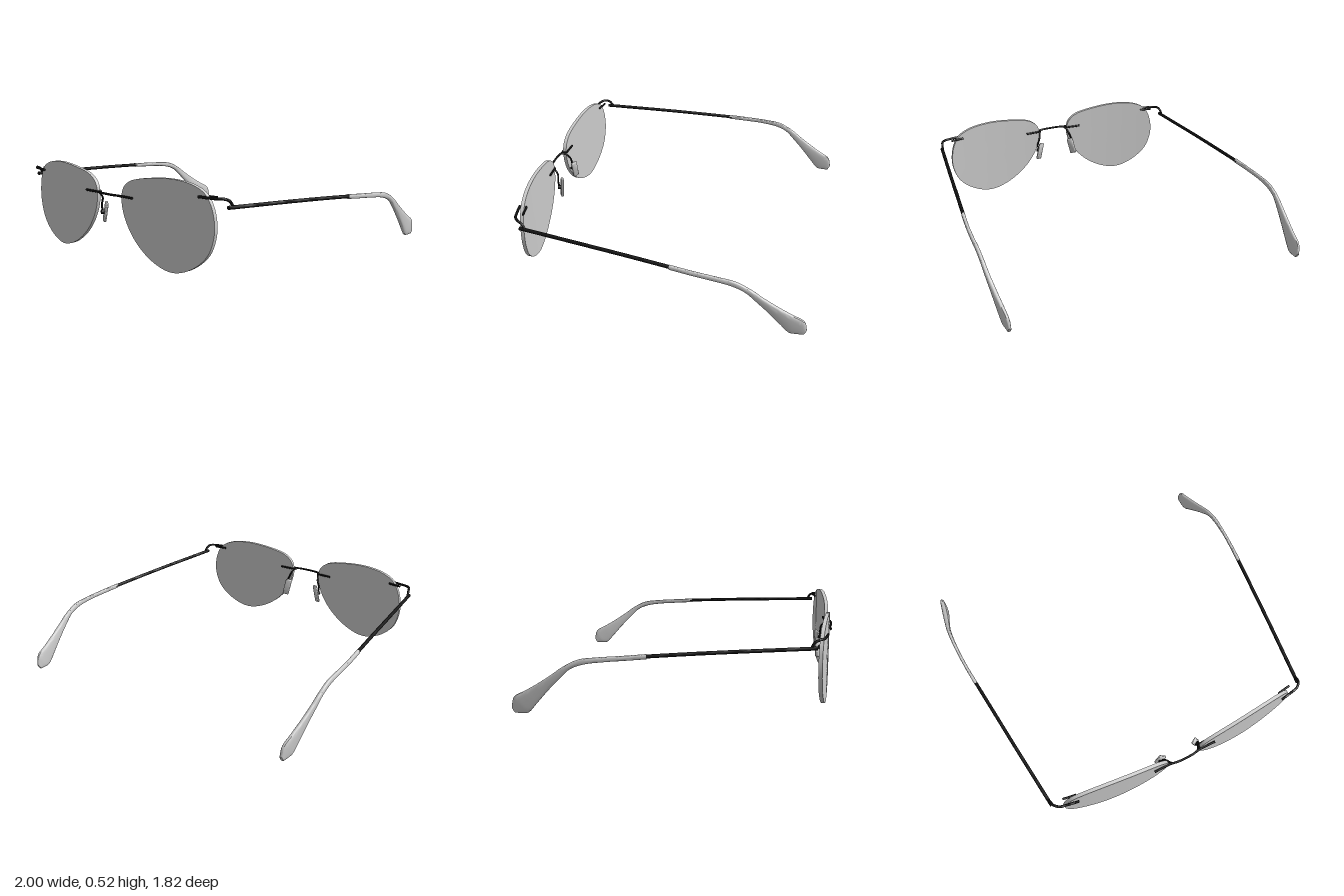
import * as THREE from 'three';
import { toCreasedNormals } from 'three/addons/utils/BufferGeometryUtils.js';
import { RoundedBoxGeometry } from 'three/addons/geometries/RoundedBoxGeometry.js';

const grey = new THREE.MeshStandardMaterial({ color: 0xcccccc });
const black = new THREE.MeshStandardMaterial({ color: 0x111111 });
const v = (p) => new THREE.Vector3(...p);

// Skin over closed rings of points; each ring runs counter-clockwise about the direction of travel
function loft(rings) {
  const n = rings[0].length, index = [];
  for (let i = 0; i < rings.length - 1; i++) {
    for (let j = 0; j < n; j++) {
      const a = i * n + j, b = i * n + (j + 1) % n;
      index.push(a, b, b + n, a, b + n, a + n);
    }
  }
  const g = new THREE.BufferGeometry();
  g.setAttribute('position', new THREE.Float32BufferAttribute(rings.flat(2), 3));
  g.setIndex(index);
  g.computeVertexNormals();
  return g;
}

// Round wire with closed ends
function wire(points, r, straight = false) {
  const pts = points.map(v);
  const curve = straight ? new THREE.LineCurve3(pts[0], pts[1]) : new THREE.CatmullRomCurve3(pts);
  const seg = straight ? 1 : pts.length * 6;
  const frames = curve.computeFrenetFrames(seg, false);
  const rings = [];
  for (let i = 0; i <= seg; i++) {
    const c = curve.getPointAt(i / seg);
    const ring = (rad) => Array.from({ length: 10 }, (_, j) => {
      const a = j / 10 * Math.PI * 2;
      return c.clone().addScaledVector(frames.normals[i], Math.cos(a) * rad)
        .addScaledVector(frames.binormals[i], Math.sin(a) * rad).toArray();
    });
    if (i === 0) rings.push(ring(0));
    rings.push(ring(r));
    if (i === seg) rings.push(ring(0));
  }
  return loft(rings);
}

// Front face of the lens, bent about the vertical axis
const lensZ = (x) => 0.893 - 0.1 * x * x;

function lensGeometry() {
  const outline = [[0.11, 0.364], [0.136, 0.257], [0.222, 0.134], [0.36, 0.037], [0.505, 0.001],
    [0.64, 0.043], [0.746, 0.134], [0.787, 0.24], [0.789, 0.326], [0.767, 0.41], [0.725, 0.47],
    [0.64, 0.508], [0.5, 0.523], [0.33, 0.51], [0.18, 0.477], [0.125, 0.43]];
  const rim = new THREE.CatmullRomCurve3(outline.map(([x, y]) => v([x, y, 0])), true).getPoints(80).slice(0, -1);
  const ring = (s, depth) => rim.map((p) => {
    const x = 0.46 + (p.x - 0.46) * s, y = 0.28 + (p.y - 0.28) * s;
    return [x, y, lensZ(x) - depth];
  });
  const steps = [0, 0.25, 0.5, 0.75, 1];
  return loft([...steps.map((s) => ring(s, 0.022)), ...steps.reverse().map((s) => ring(s, 0))]);
}

// Ear tip: flattened sections given as top z, top y, bottom z, bottom y, x, half thickness
function tipGeometry() {
  const sections = [
    [-0.125, 0.369, -0.125, 0.341, 0.966, 0.011],
    [-0.26, 0.358, -0.25, 0.331, 0.979, 0.01],
    [-0.41, 0.346, -0.37, 0.321, 0.987, 0.01],
    [-0.505, 0.332, -0.48, 0.304, 0.988, 0.011],
    [-0.593, 0.288, -0.555, 0.273, 0.986, 0.012],
    [-0.66, 0.24, -0.61, 0.222, 0.981, 0.013],
    [-0.75, 0.18, -0.685, 0.145, 0.971, 0.015],
    [-0.83, 0.133, -0.76, 0.06, 0.961, 0.016],
    [-0.882, 0.106, -0.808, 0.008, 0.955, 0.015],
    [-0.898, 0.085, -0.835, 0.002, 0.952, 0.014],
    [-0.908, 0.035, -0.888, 0.002, 0.949, 0.01]];
  const curve = (k) => new THREE.CatmullRomCurve3(sections.map((s) => v([s[4], s[k + 1], s[k]])));
  const top = curve(0), bottom = curve(2), last = sections.length - 1, rings = [];
  const soft = (t) => Math.sign(t) * Math.pow(Math.abs(t), 0.7);
  const ring = (u, scale) => {
    const a = top.getPoint(u), b = bottom.getPoint(u);
    const mid = a.clone().add(b).multiplyScalar(0.5), half = a.clone().sub(b).multiplyScalar(0.5 * scale);
    const i = Math.min(Math.floor(u * last), last - 1);
    const thick = THREE.MathUtils.lerp(sections[i][5], sections[i + 1][5], u * last - i) * scale;
    return Array.from({ length: 20 }, (_, j) => {
      const t = j / 20 * Math.PI * 2;
      const p = mid.clone().addScaledVector(half, -soft(Math.sin(t)));
      return [p.x + thick * soft(Math.cos(t)), p.y, p.z];
    });
  };
  rings.push(ring(0, 0));
  for (let i = 0; i <= 40; i++) rings.push(ring(i / 40, 1));
  rings.push(ring(1, 0));
  return loft(rings);
}

function padGeometry() {
  const g = new RoundedBoxGeometry(0.046, 0.125, 0.018, 4, 0.009);
  const m = new THREE.Matrix4().makeRotationFromEuler(new THREE.Euler(0, 0.5, 0.24, 'ZYX'));
  return g.applyMatrix4(m.setPosition(0.126, 0.25, 0.822));
}

// Mirror across x = 0, turning the triangles over so they still face outwards
function mirrored(geometry) {
  const g = geometry.clone().scale(-1, 1, 1);
  if (!g.index) {
    g.setIndex(Array.from({ length: g.attributes.position.count }, (_, i) => i));
  }
  const ix = g.index.array;
  for (let i = 0; i < ix.length; i += 3) [ix[i], ix[i + 1]] = [ix[i + 1], ix[i]];
  return g;
}

export function createModel() {
  const model = new THREE.Group();
  model.name = 'rimlessGlasses';
  const add = (name, geometry, material) => {
    const mesh = new THREE.Mesh(toCreasedNormals(geometry, 0.7), material);
    mesh.name = name;
    model.add(mesh);
  };

  // Bridge wire, lying on the front of both lenses
  add('bridge', wire([[-0.21, 0.384, 0.897], [-0.1, 0.384, 0.897], [-0.05, 0.384, 0.905],
    [0.05, 0.384, 0.905], [0.1, 0.384, 0.897], [0.21, 0.384, 0.897]], 0.007), black);

  // Parts of the left half, repeated on the right
  const parts = [
    ['Lens', lensGeometry(), grey],
    ['BridgeClip', wire([[0.115, 0.384, 0.866], [0.21, 0.384, 0.862]], 0.007, true), black],
    ['BridgePin', wire([[0.108, 0.384, 0.897], [0.108, 0.384, 0.866]], 0.006, true), black],
    ['PadArm', wire([[0.085, 0.384, 0.9], [0.105, 0.372, 0.875], [0.118, 0.34, 0.848],
      [0.135, 0.29, 0.843], [0.13, 0.252, 0.838]], 0.006), black],
    ['PadMount', wire([[0.137, 0.252, 0.848], [0.126, 0.25, 0.826]], 0.014, true), black],
    ['NosePad', padGeometry(), grey],
    ['EndPiece', wire([[0.7, 0.45, 0.86], [0.77, 0.45, 0.848], [0.82, 0.45, 0.836], [0.848, 0.449, 0.812],
      [0.857, 0.436, 0.785], [0.862, 0.41, 0.768]], 0.008), black],
    ['EndPieceClip', wire([[0.7, 0.45, 0.817], [0.785, 0.45, 0.804]], 0.007, true), black],
    ['Temple', wire([[0.859, 0.404, 0.8], [0.885, 0.394, 0.58], [0.911, 0.384, 0.36],
      [0.94, 0.37, 0.1], [0.967, 0.355, -0.14]], 0.011), black],
    ['EarTip', tipGeometry(), grey]];
  for (const [name, geometry, material] of parts) {
    add('left' + name, geometry, material);
    add('right' + name, mirrored(geometry), material);
  }
  return model;
}
